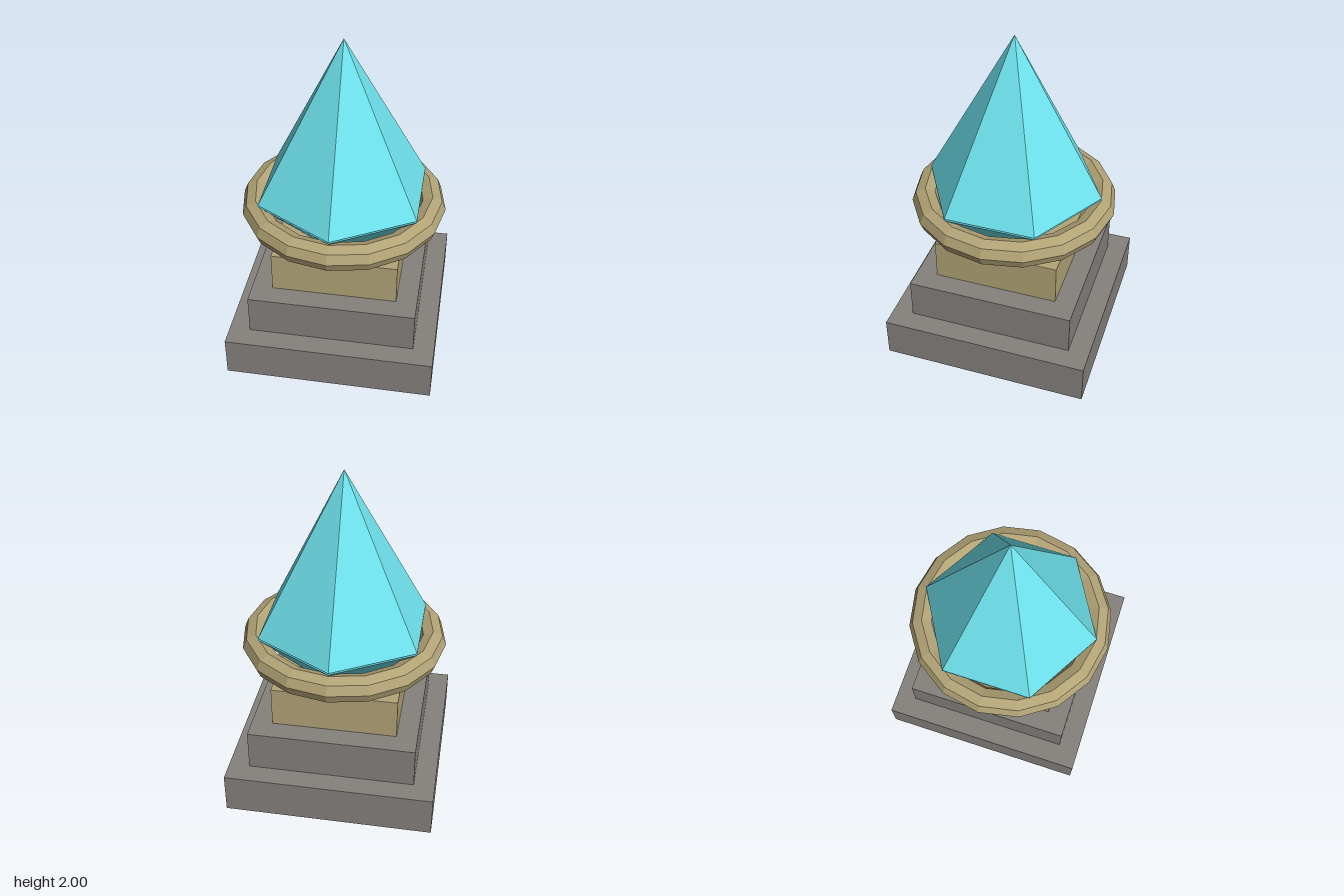
import * as THREE from 'three';

export function createModel() {
  const group = new THREE.Group();
  const material = (color) => new THREE.MeshStandardMaterial({ color, flatShading: true });
  const stone = material(0x86817d);
  const gold = material(0xb3a477);
  const crystal = material(0x6fe3ee);

  const add = (name, geometry, mat, y) => {
    const mesh = new THREE.Mesh(geometry, mat);
    mesh.name = name;
    mesh.position.y = y;
    group.add(mesh);
    return mesh;
  };

  // Stepped square pedestal
  const step = 0.249;
  [
    ['baseStep', 1.245, stone],
    ['middleStep', 0.996, stone],
    ['topBlock', 0.747, gold],
  ].forEach(([name, width, mat], i) => {
    add(name, new THREE.BoxGeometry(width, step, width), mat, step * (i + 0.5));
  });

  // Six-sided crystal: tall point above, short point sunk into the block
  const radius = 0.533;
  const upperBase = 1.028, lowerTop = 1.018, lowerTip = 0.485;
  add('crystalTop', new THREE.ConeGeometry(radius, 2 - upperBase, 6), crystal, (2 + upperBase) / 2);
  const lower = add('crystalBottom', new THREE.ConeGeometry(radius, lowerTop - lowerTip, 6),
    crystal, (lowerTop + lowerTip) / 2);
  lower.rotation.x = Math.PI;

  // Faceted ring floating around the crystal
  const ring = add('ring', new THREE.TorusGeometry(0.531, 0.08, 8, 16), gold, 0.928);
  ring.rotation.x = Math.PI / 2;

  return group;
}
